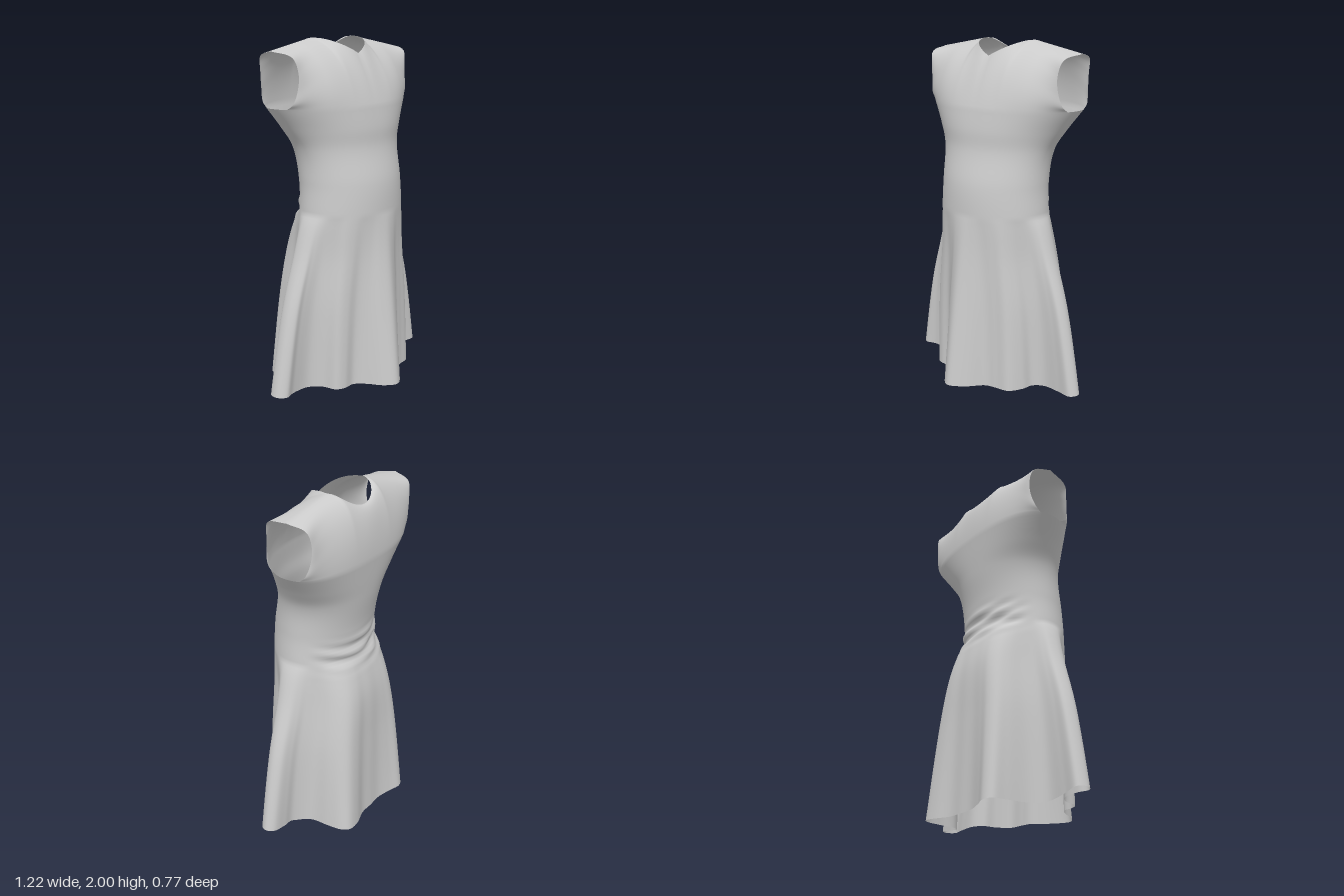
import * as THREE from 'three';
import { mergeGeometries, mergeVertices } from 'three/addons/utils/BufferGeometryUtils.js';

const { lerp, smoothstep } = THREE.MathUtils;
const N = 320;            // segments around the body
const GAP = 14;           // half width of the armhole floor, in segments
const CHEST = 1.64;       // height of the armhole floor
const WAIST = 1.05;       // height where the skirt folds start

// Body rings: height, then half width, front z, back z, side z, roundness, front roundness
const HEIGHTS = [0, 0.5, 0.8, 1.0, 1.06, 1.22, 1.42, 1.52, CHEST];
const RINGS = [
  0.4, 0.25, -0.3, 0, 1, 1,
  0.38, 0.252, -0.307, 0, 1, 1,
  0.34, 0.258, -0.303, 0, 1, 1,
  0.34, 0.266, -0.262, 0, 1, 1,
  0.338, 0.268, -0.247, 0, 1, 1,
  0.33, 0.258, -0.25, 0, 1, 1,
  0.35, 0.212, -0.285, -0.02, 0.95, 1.03,
  0.405, 0.206, -0.3, -0.06, 0.88, 1.07,
  0.49, 0.188, -0.315, -0.1, 0.8, 1.1,
];
const rings = new THREE.CubicInterpolant(HEIGHTS, RINGS, 6);

// Hem folds, from the left side round the front, the right side and the back
const HEM = [
  [0.61, 0], [0.58, 0.045], [0.5, 0.035], [0.4, 0.03], [0.34, 0.07],
  [0.325, 0.14], [0.28, 0.215], [0.2, 0.23], [0.13, 0.25], [0.06, 0.33],
  [-0.03, 0.385], [-0.1, 0.34], [-0.15, 0.25], [-0.2, 0.195], [-0.27, 0.19],
  [-0.32, 0.16], [-0.34, 0.08], [-0.4, 0.02], [-0.5, 0.01], [-0.57, 0.025],
  [-0.61, -0.02], [-0.59, -0.08], [-0.5, -0.075], [-0.39, -0.08], [-0.33, -0.15],
  [-0.31, -0.28], [-0.3, -0.36], [-0.25, -0.385], [-0.18, -0.36], [-0.09, -0.335],
  [0, -0.335], [0.09, -0.335], [0.19, -0.365], [0.27, -0.365], [0.31, -0.32],
  [0.325, -0.24], [0.34, -0.13], [0.42, -0.06], [0.5, -0.055], [0.58, -0.045],
];
const hem = new THREE.CatmullRomCurve3(HEM.map(([x, z]) => new THREE.Vector3(x, 0, z)), true, 'catmullrom', 0.5);

// Point on the plain body ring at height y
function ringPoint(i, y) {
  const a = ((i % N) / N) * Math.PI * 2;
  const [w, front, back, side, e, eFront] = rings.evaluate(y);
  const c = Math.cos(a), s = Math.sin(a);
  const x = Math.sign(c) * w * Math.abs(c) ** e;
  let z = s > 0 ? side + (front - side) * s ** eFront : side + (back - side) * Math.abs(s) ** e;
  // Gathered creases across the back of the waist
  const mask = smoothstep(-s, 0.3, 0.9) * smoothstep(y, 0.93, 1.06) * (1 - smoothstep(y, 1.12, 1.24));
  z += mask * (0.007 * Math.sin(85 * y - 70 * x * x + 9 * x) + 0.005 * Math.sin(52 * y - 14 * x));
  return new THREE.Vector3(x, y, z);
}

// Skirt and torso: hem folds fade into the body ring at the waist
function bodyPoint(i, r) {
  const h = hem.getPoint((i % N) / N);
  const drop = 0.06 * Math.max(0, 1 - (h.x / 0.61) ** 2);
  const hemY = 0.06 - drop * smoothstep(-h.z, 0.02, 0.07);
  const y = lerp(hemY, CHEST, r);
  const p = ringPoint(i, y);
  const t = Math.max(0, (WAIST - y) / (WAIST - hemY));
  // The side folds pinch together sooner than the others
  const pinch = Math.cos((i / N) * Math.PI * 2) ** 2;
  p.x = lerp(p.x, h.x, t ** 0.82);
  p.z = lerp(p.z, h.z, t ** lerp(0.82, 0.6, pinch));
  return p;
}

// Top edge of a panel: neckline in the middle, shoulder seam outside
function topEdge(x, front) {
  const ax = Math.abs(x), neck = 0.165;
  if (ax >= neck) return new THREE.Vector3(x, 2 - 0.06 * (ax - neck) / (0.5 - neck), -0.12);
  const k = ax / neck, arc = Math.sqrt(1 - k * k);
  return front
    ? new THREE.Vector3(x, 1.915 + 0.085 * k, -0.12 + 0.18 * arc)
    : new THREE.Vector3(x, 1.92 + 0.08 * k * k, -0.12 - 0.12 * arc);
}

// Chest or back panel between the two armholes
function panelPoint(front) {
  const first = front ? GAP : N / 2 + GAP;
  const corner = ringPoint(front ? GAP : N - GAP, CHEST);
  const zs = front ? [0.012, 0.035, 0.04, 0.015] : [-0.207, -0.232, -0.24, -0.22];
  const armhole = new THREE.CatmullRomCurve3([
    corner,
    new THREE.Vector3(0.474, 1.668, zs[0]),
    new THREE.Vector3(0.46, 1.74, zs[1]),
    new THREE.Vector3(0.457, 1.83, zs[2]),
    new THREE.Vector3(0.475, 1.91, zs[3]),
    new THREE.Vector3(0.5, 1.94, -0.12),
  ]);
  // Rises between a straight line and a quarter ellipse towards the shoulder;
  // the neck opening's sharp corner only shows close to the edge
  const rise = (b, x, v) => {
    const t = topEdge(x, front);
    const round = front ? lerp(0.25, 0.82, smoothstep(Math.abs(x), 0, 0.32)) : 1;
    const f = lerp(v, Math.sin(v * Math.PI / 2), round);
    const g = lerp(v, 1 - Math.cos(v * Math.PI / 2), round);
    const softZ = -0.12 + (front ? 0.18 : -0.12) * Math.exp(-((x / 0.17) ** 2));
    const z = lerp(b.z, softZ, g) + (t.z - softZ) * v ** 4;
    return new THREE.Vector3(lerp(b.x, x, v), lerp(b.y, t.y, f), z);
  };
  return (i, v) => {
    const b = ringPoint(first + i, CHEST);
    const u = b.x / corner.x;
    const p = rise(b, 0.5 * u, v);
    const fix = armhole.getPoint(v).sub(rise(corner, 0.5, v));
    fix.multiplyScalar(Math.abs(u) ** 4);
    fix.x *= Math.sign(u);
    return p.add(fix);
  };
}

// Grid of quads from a point rule
function sheet(cols, rows, point) {
  const pos = [], index = [];
  for (let j = 0; j <= rows; j++)
    for (let i = 0; i <= cols; i++) pos.push(...point(i, j / rows).toArray());
  for (let j = 0; j < rows; j++)
    for (let i = 0; i < cols; i++) {
      const a = j * (cols + 1) + i, c = a + cols + 1;
      index.push(a, c, a + 1, a + 1, c, c + 1);
    }
  const g = new THREE.BufferGeometry();
  g.setAttribute('position', new THREE.Float32BufferAttribute(pos, 3));
  g.setIndex(index);
  return g;
}

export function createModel() {
  const group = new THREE.Group();
  group.name = 'sleevelessDress';
  const span = N / 2 - 2 * GAP;
  // Skirt, torso and panels welded so the cloth shades as one surface
  const cloth = mergeVertices(mergeGeometries([
    sheet(N, 100, bodyPoint),
    sheet(span, 28, panelPoint(true)),
    sheet(span, 28, panelPoint(false)),
  ]), 1e-4);
  cloth.computeVertexNormals();
  const dress = new THREE.Mesh(cloth, new THREE.MeshStandardMaterial({ color: 0xcccccc, side: THREE.DoubleSide }));
  dress.name = 'dressCloth';
  group.add(dress);
  return group;
}
